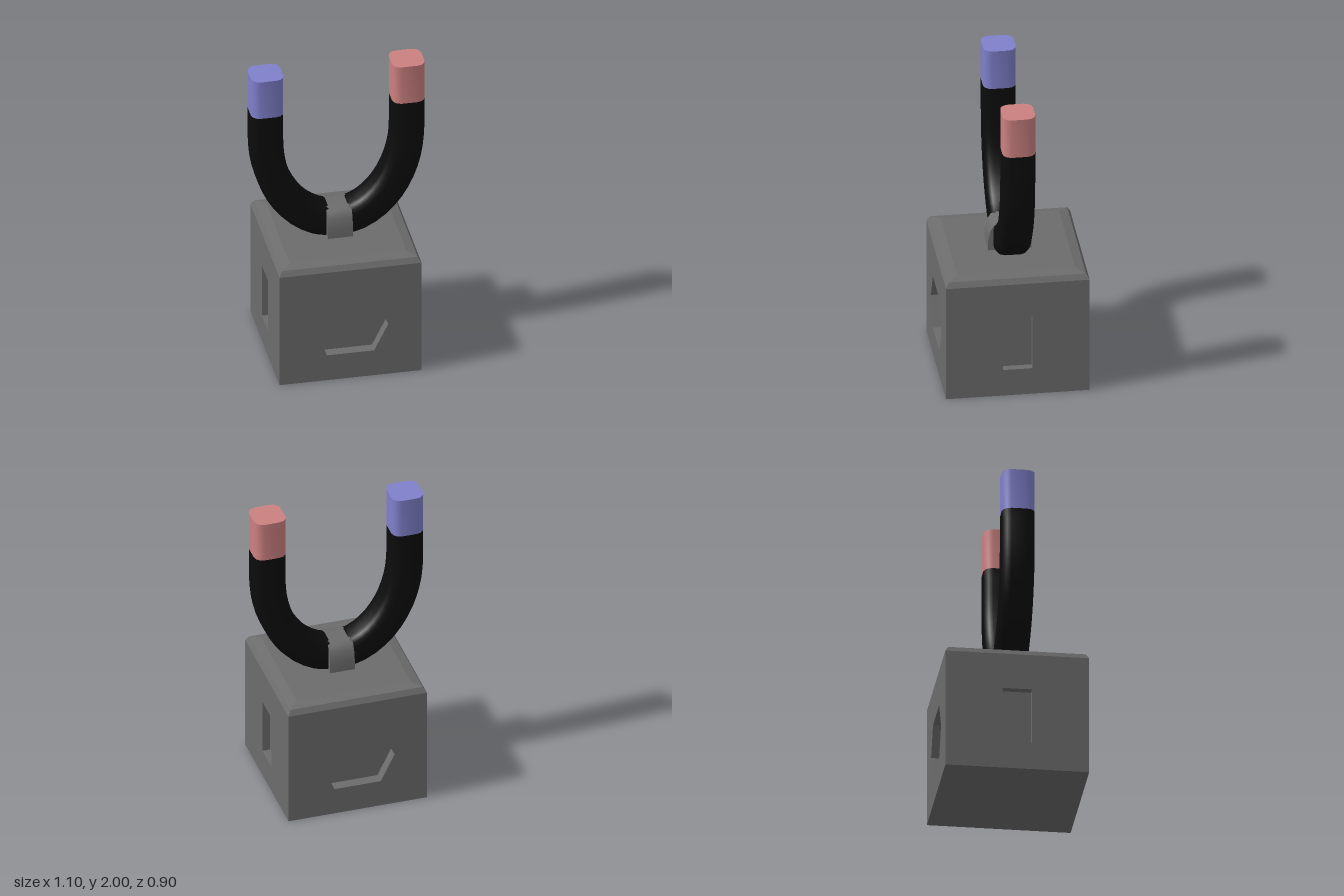
import * as THREE from 'three';
import { toCreasedNormals } from 'three/addons/utils/BufferGeometryUtils.js';

const mat = (name, color) => {
  const m = new THREE.MeshStandardMaterial({ color });
  m.name = name;
  return m;
};

const shapeFrom = (pts) => new THREE.Shape(pts.map(([x, y]) => new THREE.Vector2(x, y)));

// Square with rounded corners, the section of the magnet bar
function barSection(half, radius) {
  const pts = [];
  const c = half - radius;
  [[1, 1], [-1, 1], [-1, -1], [1, -1]].forEach(([sx, sy], q) => {
    for (let i = 0; i <= 3; i++) {
      const a = (q + i / 3) * Math.PI / 2;
      pts.push([sx * c + radius * Math.cos(a), sy * c + radius * Math.sin(a)]);
    }
  });
  return shapeFrom(pts);
}

export function createModel() {
  const model = new THREE.Group();
  model.name = 'magnetOnBlock';
  const grey = mat('grey', 0x6c6c6c);
  const black = mat('black', 0x0c0c0c);
  const red = mat('red', 0xcc8080);
  const blue = mat('blue', 0x8080cc);

  const add = (parent, name, geometry, material, x = 0, y = 0, z = 0) => {
    const mesh = new THREE.Mesh(geometry, material);
    mesh.name = name;
    mesh.position.set(x, y, z);
    parent.add(mesh);
    return mesh;
  };

  // Block: a core, four walls with pockets cut through them, and a bevelled lid
  const block = new THREE.Group();
  block.name = 'block';
  model.add(block);
  const half = 0.45, wallTop = 0.78, hexDepth = 0.07, slotDepth = 0.05;
  const coreX = half - slotDepth, coreZ = half - hexDepth;
  add(block, 'core', new THREE.BoxGeometry(2 * coreX, wallTop, 2 * coreZ), grey, 0, wallTop / 2);

  const wall = (halfWidth, hole, depth) => {
    const shape = shapeFrom([[-halfWidth, 0], [halfWidth, 0], [halfWidth, wallTop], [-halfWidth, wallTop]]);
    shape.holes.push(shapeFrom(hole));
    return new THREE.ExtrudeGeometry(shape, { depth, bevelEnabled: false });
  };
  const lo = 0.18, hi = 0.545, mid = (lo + hi) / 2;
  const hexWall = wall(half, [[-0.24, mid], [-0.15, hi], [0.15, hi], [0.24, mid], [0.15, lo], [-0.15, lo]], hexDepth);
  const slotWall = wall(coreZ, [[-0.093, lo], [-0.093, hi], [0.093, hi], [0.093, lo]], slotDepth);
  for (const s of [1, -1]) {
    add(block, s > 0 ? 'frontWall' : 'backWall', hexWall, grey, 0, 0, s * coreZ).rotation.y = s > 0 ? 0 : Math.PI;
    add(block, s > 0 ? 'leftWall' : 'rightWall', slotWall, grey, s * coreX).rotation.y = s * Math.PI / 2;
  }

  const lidProfile = [[half, wallTop], [0.43, 0.815], [0.37, 0.83], [0, 0.83]]
    .map(([r, y]) => new THREE.Vector2(r * Math.SQRT2, y));
  const lid = new THREE.LatheGeometry(lidProfile, 4).rotateY(Math.PI / 4).toNonIndexed();
  lid.computeVertexNormals();
  add(block, 'lid', lid, grey);

  // Horseshoe bar: a rounded square swept along a U
  const legX = 0.447, bendY = 1.53, tipY = 1.735;
  const section = barSection(0.103, 0.055);
  const path = [new THREE.Vector3(-legX, tipY, 0), new THREE.Vector3(-legX, (tipY + bendY) / 2, 0)];
  for (let i = 0; i <= 16; i++) {
    const a = Math.PI * (1 + i / 16);
    path.push(new THREE.Vector3(legX * Math.cos(a), bendY + 0.623 * Math.sin(a), 0));
  }
  path.push(new THREE.Vector3(legX, (tipY + bendY) / 2, 0), new THREE.Vector3(legX, tipY, 0));
  const bar = new THREE.ExtrudeGeometry(section, {
    steps: 32, bevelEnabled: false, extrudePath: new THREE.CatmullRomCurve3(path),
  });
  add(model, 'horseshoeBar', toCreasedNormals(bar, 0.8), black);

  // Coloured pole tips
  const tip = toCreasedNormals(
    new THREE.ExtrudeGeometry(section, { depth: 2 - tipY, bevelEnabled: false }).rotateX(-Math.PI / 2), 0.8);
  add(model, 'leftTip', tip, red, legX, tipY);
  add(model, 'rightTip', tip, blue, -legX, tipY);

  // Strap that holds the bar on the block
  const side = [[0.136, 0.82], [0.135, 0.9], [0.123, 0.96], [0.1, 1.0], [0.06, 1.02]];
  const strapShape = shapeFrom([...side, ...side.map(([z, y]) => [-z, y]).reverse()]);
  const strap = new THREE.ExtrudeGeometry(strapShape, { depth: 0.16, bevelEnabled: false })
    .translate(0, 0, -0.08).rotateY(Math.PI / 2);
  add(model, 'strap', toCreasedNormals(strap, 0.7), grey);

  return model;
}
